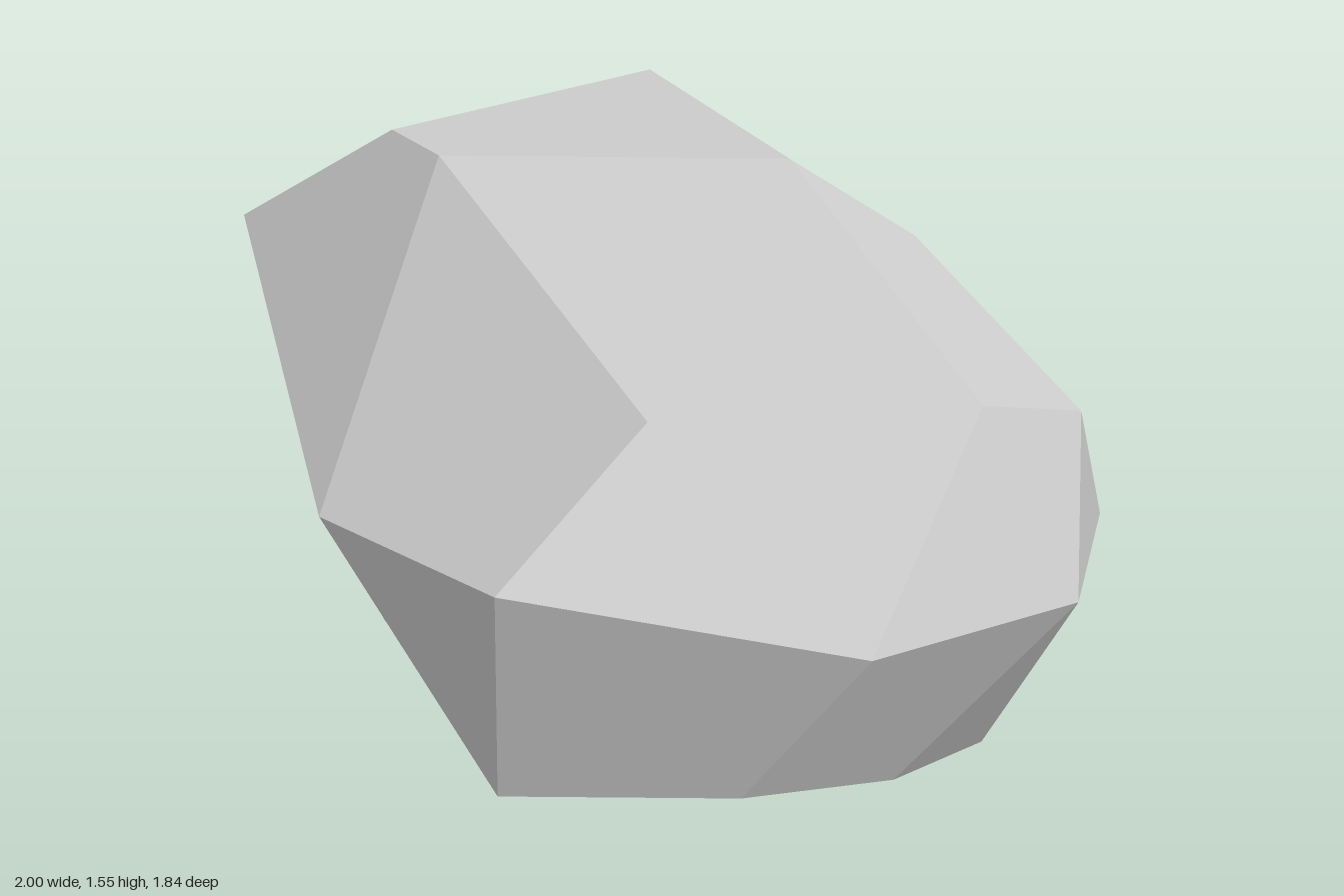
import * as THREE from 'three';

// Corners of the boulder, grouped by level
const corners = {
  // crown
  A: [-1, 1.19, -0.545], B: [-0.61, 1.44, -0.29], C: [-0.02, 1.555, -0.425],
  D: [-0.475, 1.45, 0.085], E: [0.27, 1.44, 0.085], L: [0.55, 1.26, 0.03],
  O: [0.33, 1.33, -0.37], N: [0.525, 1.1, -0.6], P: [-0.195, 1.155, -0.92],
  // shoulder
  F: [-0.04, 1.0, 0.55], G: [-0.33, 0.775, 0.92], H: [0.395, 0.58, 0.78],
  I: [0.825, 0.64, 0.63], J: [0.855, 0.975, 0.41], K: [0.65, 0.99, 0.42],
  M: [1, 0.605, 0], Q: [-0.75, 0.68, 0.2],
  // foot
  R: [-0.68, 0.22, -0.34], S: [-0.51, 0.24, 0.16], T: [-0.345, 0.27, 0.73],
  U: [0.15, 0.21, 0.63], V: [0.475, 0.21, 0.55], W: [0.755, 0.03, -0.01],
  X: [0.03, 0, 0.12], Y: [-0.1, 0.187, -0.765], Z: [0.54, 0.235, -0.58],
};

// Facets as corner loops; each is fanned from its first corner
const facets = [
  'CEDB', 'APCB', 'CONP', 'ELOC',                   // crown
  'BDQA', 'DFGQ', 'FDEKHG', 'LJKE', 'KJIH',         // front slopes
  'JIML', 'LMNO',                                   // side slopes
  'PNZY', 'MNZW', 'IMWV', 'HIVU', 'GHUT', 'QGTS', 'AQSR', 'ARYP', // walls
  'WZYX', 'XYRS', 'STUX', 'UVWX',                   // underside
];

function facetedGeometry() {
  const center = new THREE.Vector3(0, 0.75, 0);
  const positions = [], normals = [];
  for (const facet of facets) {
    let loop = [...facet].map((k) => new THREE.Vector3(...corners[k]));
    // one averaged normal for the whole facet
    const normal = new THREE.Vector3(), middle = new THREE.Vector3();
    loop.forEach((p, i) => {
      normal.add(p.clone().cross(loop[(i + 1) % loop.length]));
      middle.addScaledVector(p, 1 / loop.length);
    });
    normal.normalize();
    // turn every facet outward
    if (normal.dot(middle.sub(center)) < 0) {
      normal.negate();
      loop = [loop[0], ...loop.slice(1).reverse()];
    }
    for (let i = 1; i < loop.length - 1; i++) {
      for (const p of [loop[0], loop[i], loop[i + 1]]) {
        positions.push(p.x, p.y, p.z);
        normals.push(normal.x, normal.y, normal.z);
      }
    }
  }
  const geometry = new THREE.BufferGeometry();
  geometry.setAttribute('position', new THREE.Float32BufferAttribute(positions, 3));
  geometry.setAttribute('normal', new THREE.Float32BufferAttribute(normals, 3));
  return geometry;
}

export function createModel() {
  const stone = new THREE.MeshStandardMaterial({ color: 0xc7c7c7 });
  stone.name = 'stone grey';

  const boulder = new THREE.Mesh(facetedGeometry(), stone);
  boulder.name = 'boulder';

  const group = new THREE.Group();
  group.name = 'rock';
  group.add(boulder);
  return group;
}
